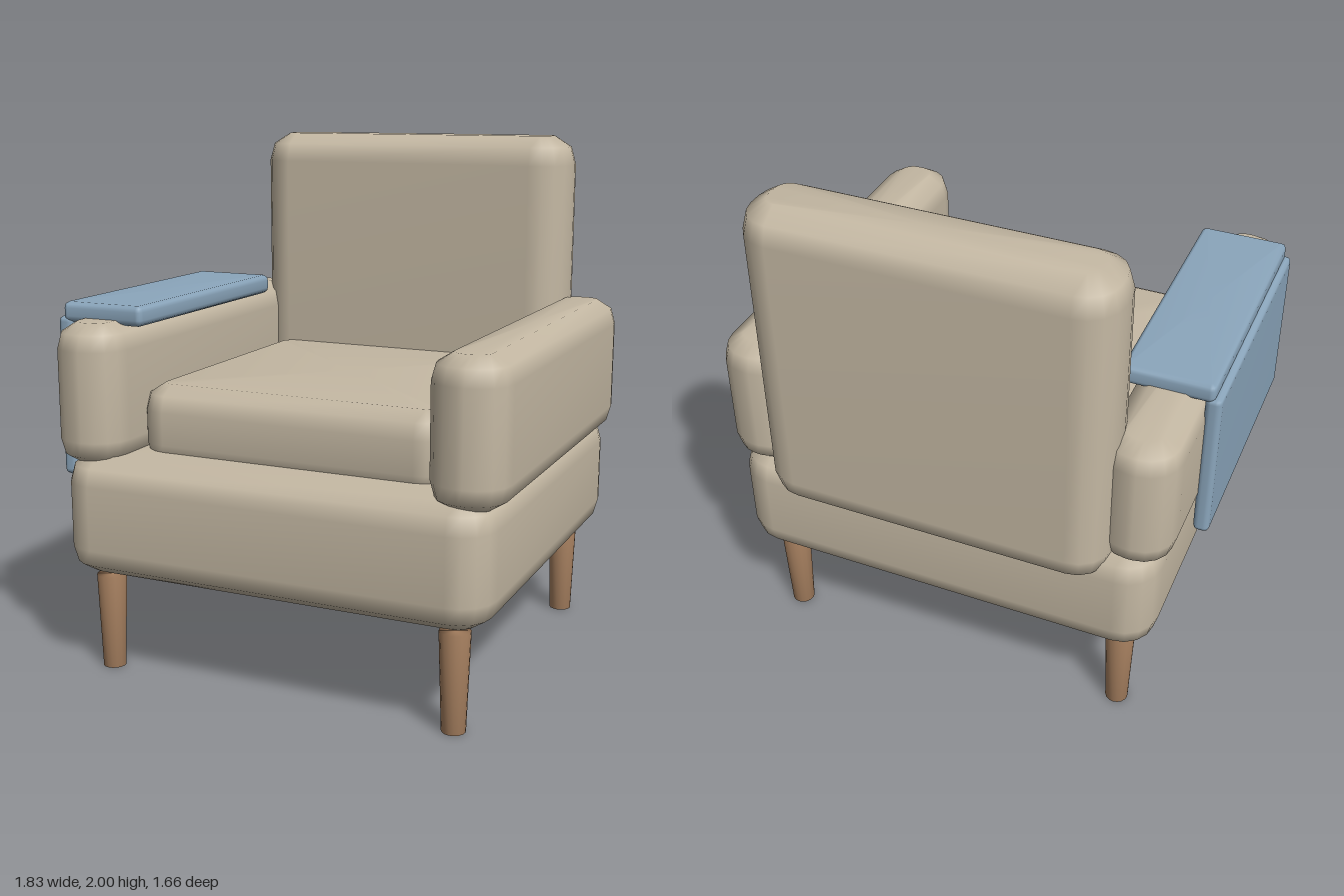
import * as THREE from 'three';

// Soft padded block: rounded plan outline stacked in bevelled rings, closed by a centre fan
function cushion([x0, x1], [y0, y1], [z0, z1], radius, bevel) {
  const profile = [[1, 0], [0.22, 0.5], [0, 1.3]]; // inset, drop (times bevel)
  const rings = [
    ...profile.map(([i, d]) => [i * bevel, y0 + d * bevel]),
    ...profile.map(([i, d]) => [i * bevel, y1 - d * bevel]).reverse(),
  ];
  const cx = (x0 + x1) / 2, cz = (z0 + z1) / 2;
  const hx = (x1 - x0) / 2, hz = (z1 - z0) / 2;
  const steps = 4, n = 4 * (steps + 1);
  const pos = [], idx = [];
  for (const [inset, y] of rings) {
    const r = Math.max(radius - inset, 0.006);
    for (let c = 0; c < 4; c++) {
      const sx = c === 0 || c === 3 ? 1 : -1, sz = c < 2 ? 1 : -1;
      for (let s = 0; s <= steps; s++) {
        const a = (c + s / steps) * Math.PI / 2;
        pos.push(cx + sx * (hx - inset - r) + r * Math.cos(a), y,
          cz + sz * (hz - inset - r) + r * Math.sin(a));
      }
    }
  }
  const last = (rings.length - 1) * n, bottom = rings.length * n, top = bottom + 1;
  pos.push(cx, y0, cz, cx, y1, cz);
  for (let i = 0; i < n; i++) {
    const k = (i + 1) % n;
    for (let j = 0; j < last; j += n) {
      idx.push(j + i, j + n + i, j + k, j + k, j + n + i, j + n + k);
    }
    idx.push(bottom, i, k, top, last + k, last + i);
  }
  const g = new THREE.BufferGeometry();
  g.setAttribute('position', new THREE.Float32BufferAttribute(pos, 3));
  g.setIndex(idx);
  g.computeVertexNormals();
  return g;
}

export function createModel() {
  const model = new THREE.Group();
  model.name = 'armchair';

  const fabric = new THREE.MeshStandardMaterial({ color: 0xc4b8a3 });
  fabric.name = 'beige fabric';
  const throwBlue = new THREE.MeshStandardMaterial({ color: 0x8ba6bc });
  throwBlue.name = 'blue cloth';
  const wood = new THREE.MeshStandardMaterial({ color: 0xa47e5e });
  wood.name = 'brown wood';

  const add = (name, geometry, material) => {
    const mesh = new THREE.Mesh(geometry, material);
    mesh.name = name;
    model.add(mesh);
    return mesh;
  };

  // Upholstery
  add('base', cushion([-0.82, 0.87], [0.395, 0.85], [-0.77, 0.83], 0.14, 0.08), fabric);
  add('seatCushion', cushion([-0.6, 0.65], [0.78, 1.1], [-0.58, 0.62], 0.12, 0.075), fabric);
  add('backrest', cushion([-0.655, 0.705], [0.73, 2], [-0.835, -0.505], 0.14, 0.09), fabric);
  for (const [name, x] of [['rightArm', -0.72], ['leftArm', 0.77]]) {
    add(name, cushion([x - 0.142, x + 0.142], [0.81, 1.345], [-0.75, 0.815], 0.13, 0.075), fabric);
  }

  // Cloth over the right arm: flat top and hanging side
  add('armClothTop', cushion([-0.89, -0.545], [1.325, 1.402], [-0.38, 0.645], 0.022, 0.018), throwBlue);
  add('armClothSide', cushion([-0.915, -0.853], [0.727, 1.345], [-0.38, 0.645], 0.022, 0.016), throwBlue);

  // Tapered legs
  const legShape = new THREE.LatheGeometry(
    [[0, 0], [0.044, 0], [0.057, 0.37], [0, 0.37]].map(([r, y]) => new THREE.Vector2(r, y)), 16);
  for (const [side, x] of [['Right', -0.677], ['Left', 0.723]]) {
    for (const [end, z] of [['front', 0.693], ['back', -0.627]]) {
      add(`${end}${side}Leg`, legShape, wood).position.set(x, 0, z);
    }
  }
  return model;
}
